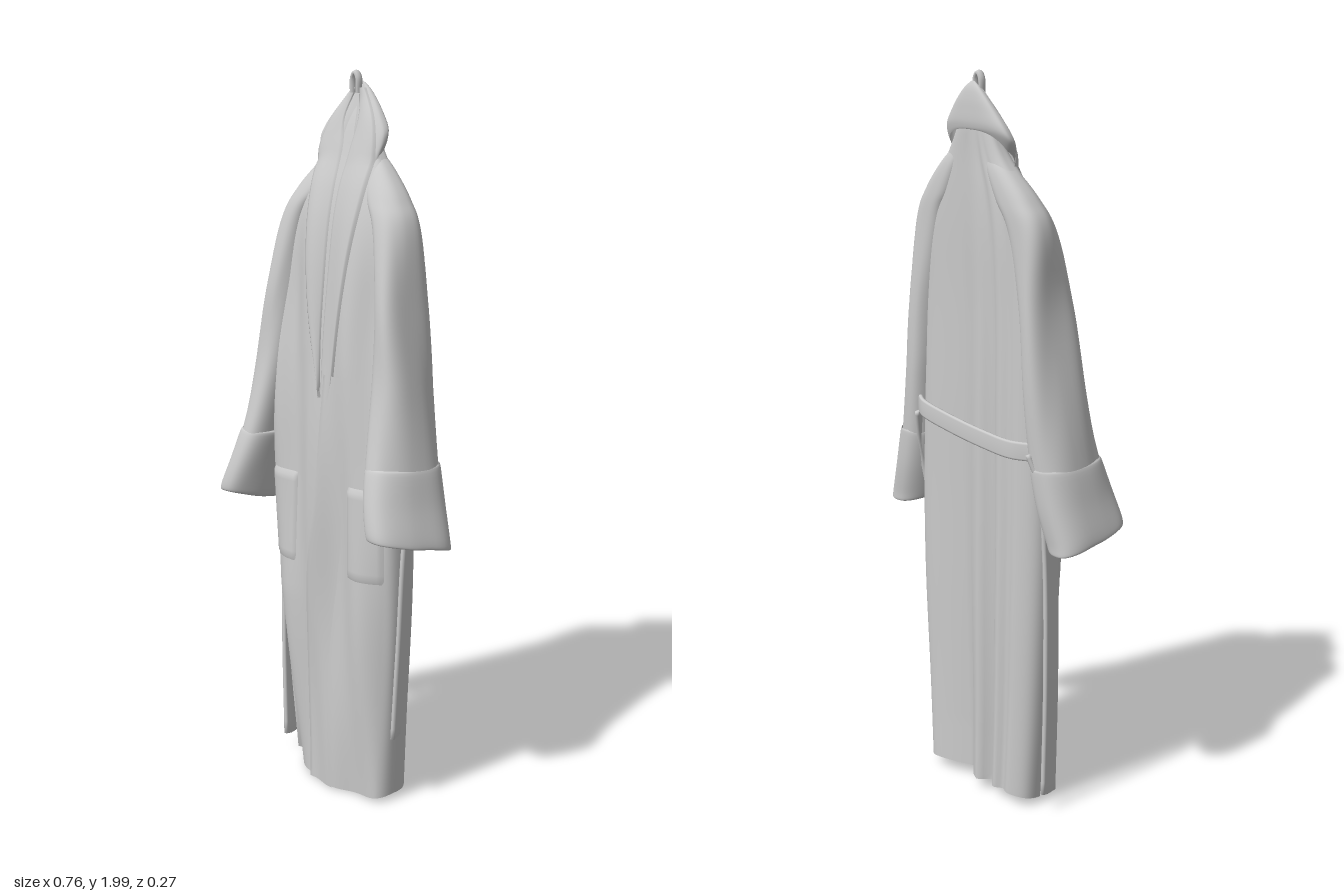
import * as THREE from 'three';
import { mergeVertices } from 'three/addons/utils/BufferGeometryUtils.js';

const material = new THREE.MeshStandardMaterial({ color: 0xcccccc, side: THREE.DoubleSide, roughness: 0.9 });
const POWER = 0.6; // squareness of the cloth cross-sections
const spow = (v, e) => Math.sign(v) * Math.abs(v) ** e;
const bump = (t) => Math.exp(-t * t);
const clamp01 = (t) => Math.min(1, Math.max(0, t));

// Smooth curve through rows [key, value, value, ...]
function curve(rows) {
  const n = rows[0].length - 1;
  const f = new THREE.CubicInterpolant(rows.map((r) => r[0]), rows.flatMap((r) => r.slice(1)), n, new Float32Array(n));
  return (t) => Array.from(f.evaluate(t));
}

// Grid surface from a rule (u, v) -> [x, y, z]
function sheet(name, nu, nv, rule) {
  let g = new THREE.PlaneGeometry(1, 1, nu, nv);
  const p = g.attributes.position;
  for (let i = 0; i < p.count; i++) p.setXYZ(i, ...rule(p.getX(i) + 0.5, p.getY(i) + 0.5));
  g.deleteAttribute('uv');
  g.deleteAttribute('normal');
  g = mergeVertices(g, 1e-5);
  g.computeVertexNormals();
  const mesh = new THREE.Mesh(g, material);
  mesh.name = name;
  return mesh;
}

// Point on a rounded ring bounded by [x0, x1, z0, z1]
function ringPoint([x0, x1, z0, z1], a, power = POWER) {
  return [(x0 + x1) / 2 + (x1 - x0) / 2 * spow(Math.sin(a), power),
    (z0 + z1) / 2 + (z1 - z0) / 2 * spow(Math.cos(a), power)];
}
// Front depth of such a ring at x
function ringFront([x0, x1, z0, z1], x) {
  const s = Math.min(1, Math.abs((2 * x - x0 - x1) / (x1 - x0)));
  return (z0 + z1) / 2 + (z1 - z0) / 2 * (1 - s ** (2 / POWER)) ** (POWER / 2);
}

// y, x0, x1, z0, z1
const bodyRows = curve([
  [0.0, -0.205, 0.208, -0.12, 0.036], [0.25, -0.222, 0.22, -0.12, 0.044], [0.6, -0.242, 0.238, -0.122, 0.05],
  [0.85, -0.25, 0.24, -0.122, 0.05], [1.1, -0.25, 0.23, -0.122, 0.046], [1.4, -0.245, 0.215, -0.12, 0.03],
  [1.6, -0.225, 0.2, -0.12, 0.004], [1.7, -0.18, 0.16, -0.118, -0.02], [1.78, -0.115, 0.1, -0.115, -0.047],
  [1.86, -0.07, 0.05, -0.113, -0.072], [1.92, -0.035, 0.012, -0.11, -0.095],
]);
const collarRows = curve([
  [1.74, -0.122, 0.1, -0.116, -0.036], [1.79, -0.142, 0.104, -0.119, -0.049], [1.83, -0.134, 0.1, -0.121, -0.06],
  [1.88, -0.105, 0.076, -0.121, -0.074], [1.93, -0.066, 0.04, -0.119, -0.091], [1.96, -0.036, 0.01, -0.114, -0.1],
  [1.972, -0.018, -0.008, -0.108, -0.104],
]);

// Front relief: soft folds, hollows beside the lapels, and the right hem swinging back
function folds(x, y) {
  const wave = 0.007 * Math.sin(40 * x + 3 * y) + 0.005 * Math.sin(24 * x - 6 * y + 1);
  const hollow = 0.018 * bump((Math.abs(x) - 0.15) / 0.05) * bump((y - 1.38) / 0.2);
  const swing = 0.07 * clamp01((-x - 0.05) / 0.15) ** 1.5 * clamp01((0.55 - y) / 0.55);
  return wave * clamp01((1.9 - y) * 1.5) - hollow - swing;
}
const frontZ = (x, y) => ringFront(bodyRows(y), x) + folds(x, y);
// Back pleats: one deep lapped fold and smaller ones, fanning out from the neck
function pleats(s, y) {
  const amount = clamp01((1.85 - y) / 1.7) ** 0.7;
  const lapped = s > 0.1 ? clamp01((0.95 - s) / 0.85) ** 1.3 : clamp01((s + 0.04) / 0.14);
  return amount * (0.06 * lapped + 0.035 * bump((s + 0.32) / 0.09) + 0.015 * bump((s + 0.6) / 0.08));
}

function body() {
  return sheet('robeBody', 144, 90, (u, v) => {
    const a = u * Math.PI * 2, y = v * 1.92, row = bodyRows(y);
    let [x, z] = ringPoint(row, a);
    const c = Math.cos(a);
    z += c > 0 ? folds(x, y) * Math.min(1, c * 2) : pleats((2 * x - row[0] - row[1]) / (row[1] - row[0]), y) * Math.min(1, -c * 3);
    // hem sits higher at the back
    return [x, y + (1 - v) ** 8 * (0.025 - 0.015 * c), z];
  });
}

// Front panel that laps over the other side
const edgeX = curve([[0.0, -0.07], [0.3, -0.068], [0.6, -0.045], [0.85, -0.012], [1.18, 0.002]]);
function frontPanel() {
  return sheet('frontOverlap', 12, 50, (u, v) => {
    const y = 0.006 + v * 1.2, x = edgeX(y)[0] + u * 0.11;
    const lift = u === 0 ? -0.004 : 0.012 * (1 - u) ** 1.2 - 0.002 * u;
    return [x, y, frontZ(x, y) + lift + 0.008 * (1 - u) * bump((y - 0.65) / 0.3)];
  });
}

// Long shawl lapels: y, inner x, outer x on each side
const lapelRows = {
  right: curve([[1.14, -0.008, -0.004], [1.3, -0.016, -0.05], [1.5, -0.016, -0.09], [1.72, -0.02, -0.122], [1.8, -0.025, -0.13], [1.88, -0.04, -0.096], [1.955, -0.024, -0.04]]),
  left: curve([[1.14, -0.006, 0.036], [1.3, -0.012, 0.055], [1.5, -0.012, 0.078], [1.72, -0.012, 0.1], [1.8, -0.002, 0.096], [1.88, 0.008, 0.068], [1.955, -0.012, 0.012]]),
};
function lapel(side) {
  return sheet(side + 'Lapel', 16, 50, (u, v) => {
    const y = 1.14 + v * 0.815, [inner, outer] = lapelRows[side](y);
    const t = side === 'left' ? u : 1 - u;
    const x = inner + (outer - inner) * t;
    let base = frontZ(x, y);
    if (y > 1.74) base = Math.max(base, ringFront(collarRows(y), x));
    const roll = 0.015 * Math.sin(Math.PI * Math.min(1, t * 0.75 + 0.06)) ** 0.6 - 0.005;
    return [x, y, base + (t === 0 || t === 1 ? -0.006 : roll * (1 - 0.5 * v ** 4))];
  });
}

// Turned-down collar, peaked at the back and parted in front
function collar() {
  return sheet('collar', 72, 24, (u, v) => {
    const a = u * Math.PI * 2, y = 1.74 + v * 0.232;
    const [x, z] = ringPoint(collarRows(y), a, 0.75);
    const c = Math.cos(a);
    const groove = c > 0 ? 0.025 * bump((x + 0.016) / 0.014) * (1 - v) : 0;
    return [x, y + (1 - v) ** 2 * 0.055 * (1 - c), z - groove];
  });
}

// Sleeve and cuff rows for the +x side, listed from the shoulder down: step, y, x0, x1, z0, z1
const sleeveRows = curve([
  [0, 1.8, 0.03, 0.075, -0.105, -0.07], [1, 1.75, 0.05, 0.132, -0.115, -0.045], [2, 1.68, 0.08, 0.192, -0.12, -0.018],
  [3, 1.6, 0.125, 0.23, -0.121, 0.002], [4, 1.4, 0.17, 0.258, -0.122, 0.04], [5, 1.2, 0.188, 0.29, -0.12, 0.062],
  [6, 1.0, 0.21, 0.32, -0.114, 0.094], [7, 0.9, 0.225, 0.336, -0.105, 0.108],
]);
const cuffRows = curve([
  [0, 1.0, 0.213, 0.318, -0.114, 0.092], [1, 0.985, 0.208, 0.327, -0.116, 0.1], [2, 0.9, 0.226, 0.347, -0.112, 0.118],
  [3, 0.82, 0.248, 0.37, -0.102, 0.13], [4, 0.795, 0.26, 0.372, -0.098, 0.127], [5, 0.81, 0.272, 0.357, -0.082, 0.108],
  [6, 0.9, 0.25, 0.33, -0.08, 0.09],
]);
function tube(name, rows, steps, side, nv, wave) {
  return sheet(name, 48, nv, (u, v) => {
    const a = u * Math.PI * 2 * side, k = (1 - v) * steps;
    const [y, ...row] = rows(k);
    const [x, z] = ringPoint(row, a, 0.78);
    const ripple = wave * Math.sin(a * 3 + y * 9) * Math.min(1, k / 3);
    const low = Math.max(0, 1.2 - y);
    const drop = y < 1.05 ? (1.05 - y) * 0.1 * Math.cos(a) : 0; // opening tilts up in front
    // left cuff turns inward, right shoulder is a little broader
    const turn = side > 0 ? -0.05 * low * Math.cos(a) : 0.004 + 0.012 * bump((y - 1.6) / 0.12);
    return [side * (x + turn + ripple * Math.sin(a)), y + drop, z + ripple * Math.cos(a)];
  });
}
function sleeve(side) {
  const g = new THREE.Group();
  g.name = side > 0 ? 'leftSleeve' : 'rightSleeve';
  g.add(tube('sleeve', sleeveRows, 7, side, 50, 0.004), tube('cuff', cuffRows, 6, side, 30, 0.004));
  return g;
}

// Patch pocket following the front
function pocket(name, x0, x1, y0, y1) {
  return sheet(name, 14, 16, (u, v) => {
    const x = x0 + u * (x1 - x0), y = y0 + v * (y1 - y0);
    const rim = u === 0 || u === 1 || v === 0 || v === 1;
    return [x, y, frontZ(x, y) + (rim ? -0.003 : 0.004 + 0.003 * v)];
  });
}

// Flat strap along points, its width running along a fixed direction
function strap(name, points, across, width, thick) {
  const path = new THREE.CatmullRomCurve3(points.map((p) => new THREE.Vector3(...p)));
  const wide = new THREE.Vector3(...across).normalize();
  return sheet(name, 12, 40, (u, v) => {
    const t = clamp01((v - 0.02) / 0.96), a = u * Math.PI * 2;
    const size = v === 0 || v === 1 ? 0 : 1; // closed ends
    const flat = new THREE.Vector3().crossVectors(wide, path.getTangent(t)).normalize();
    return path.getPoint(t)
      .addScaledVector(wide, size * width / 2 * spow(Math.sin(a), 0.4))
      .addScaledVector(flat, size * thick / 2 * spow(Math.cos(a), 0.4)).toArray();
  });
}

export function createModel() {
  const robe = new THREE.Group();
  robe.name = 'hangingRobe';
  robe.add(body(), frontPanel(), collar(), lapel('left'), lapel('right'), sleeve(1), sleeve(-1));
  robe.add(pocket('rightPocket', -0.218, -0.108, 0.64, 0.91), pocket('leftPocket', 0.105, 0.226, 0.65, 0.92));

  // Belt across the back with its two ends hanging at the sides
  robe.add(
    strap('beltBack', [[0.225, 1.08, -0.1], [0.18, 1.075, -0.122], [0.06, 1.055, -0.124], [-0.08, 1.04, -0.125], [-0.18, 1.035, -0.124], [-0.24, 1.035, -0.1]], [0, 1, 0], 0.05, 0.012),
    strap('leftBeltEnd', [[0.225, 1.06, -0.1], [0.25, 0.95, -0.07], [0.252, 0.8, -0.04], [0.242, 0.5, -0.03], [0.224, 0.2, -0.028]], [0.5, 0, 1], 0.055, 0.014),
    strap('rightBeltEnd', [[-0.24, 1.035, -0.1], [-0.262, 0.95, -0.08], [-0.264, 0.75, -0.06], [-0.26, 0.4, -0.05], [-0.247, 0.05, -0.045]], [0.15, 0, 1], 0.055, 0.014),
  );

  // Hanging loop at the neck
  const loopPath = new THREE.CatmullRomCurve3([[-0.034, 1.94], [-0.033, 1.98], [-0.023, 1.993], [-0.013, 1.98], [-0.012, 1.94]]
    .map(([x, y]) => new THREE.Vector3(x, y, 0)));
  const loop = new THREE.Mesh(new THREE.TubeGeometry(loopPath, 24, 0.007, 8), material);
  loop.scale.z = 1.6;
  loop.position.z = -0.095;
  loop.name = 'hangingLoop';
  robe.add(loop);
  return robe;
}
